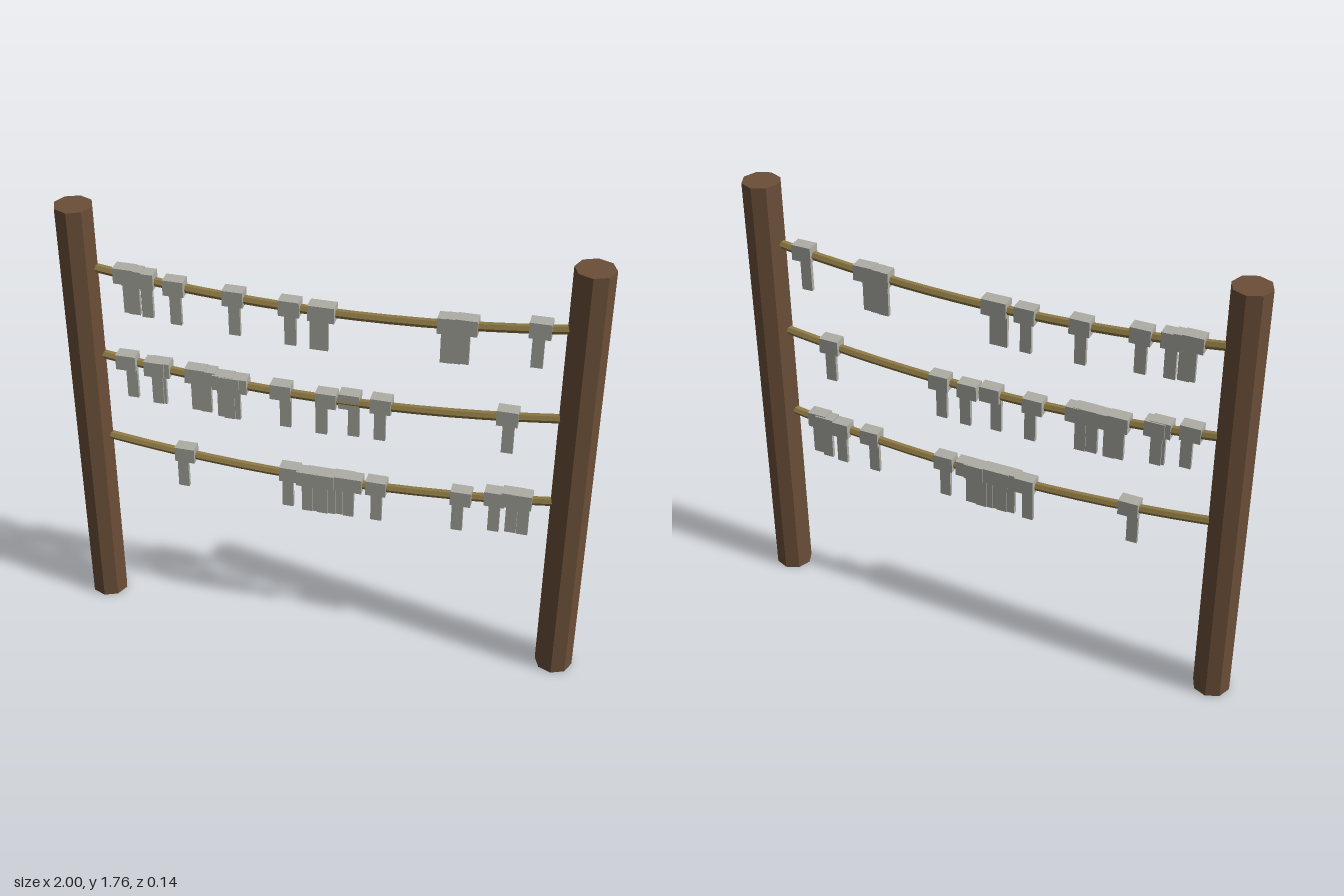
import * as THREE from 'three';

const POST_X = 0.9275, POST_R = 0.0725, POST_H = 1.76;
const SAG = 0.068;

// Each strip: [clip x, hanging strip x, z offset]
const rows = [
  { y: 1.455, strips: [
    [-0.75, -0.74, 0], [-0.72, -0.72, 0], [-0.675, -0.67, 0], [-0.56, -0.56, 0.005],
    [-0.34, -0.34, -0.003], [-0.13, -0.13, 0], [-0.02, -0.035, 0.005], [0, -0.01, 0.005],
    [0.445, 0.44, 0], [0.475, 0.47, 0], [0.51, 0.5, 0], [0.765, 0.76, 0]] },
  { y: 1.086, strips: [
    [-0.765, -0.75, 0.006], [-0.655, -0.65, 0.006], [-0.635, -0.64, 0], [-0.5, -0.5, -0.008],
    [-0.46, -0.465, -0.008], [-0.39, -0.395, 0], [-0.365, -0.37, 0.004], [-0.335, -0.35, 0],
    [-0.17, -0.155, -0.008], [0.005, -0.015, 0], [0.09, 0.105, -0.013], [0.21, 0.205, -0.008],
    [0.675, 0.68, 0]] },
  { y: 0.717, strips: [
    [-0.555, -0.57, 0], [-0.14, -0.15, -0.006], [-0.07, -0.07, 0.004], [-0.035, -0.04, 0],
    [0, -0.01, 0.004], [0.03, 0.02, 0], [0.07, 0.045, -0.004], [0.107, 0.09, 0],
    [0.2, 0.2, 0], [0.525, 0.513, 0.006], [0.65, 0.65, -0.007], [0.715, 0.715, -0.007],
    [0.75, 0.76, 0]] },
];

const material = (color) => new THREE.MeshStandardMaterial({ color, flatShading: true });

function addMesh(parent, name, geometry, mat, x = 0, y = 0, z = 0) {
  const mesh = new THREE.Mesh(geometry, mat);
  mesh.name = name;
  mesh.position.set(x, y, z);
  parent.add(mesh);
  return mesh;
}

export function createModel() {
  const group = new THREE.Group();
  group.name = 'ropeFence';
  const wood = material(0x6b4f38), rope = material(0x8f7a45), cloth = material(0xaeaea6);

  // Octagonal posts
  const postGeometry = new THREE.CylinderGeometry(POST_R, POST_R, POST_H, 8);
  addMesh(group, 'leftPost', postGeometry, wood, POST_X, POST_H / 2);
  addMesh(group, 'rightPost', postGeometry, wood, -POST_X, POST_H / 2);

  const clipGeometry = new THREE.BoxGeometry(0.078, 0.062, 0.053);
  const stripGeometry = new THREE.BoxGeometry(0.043, 0.15, 0.015);

  rows.forEach(({ y, strips }, i) => {
    const row = new THREE.Group();
    row.name = `ropeRow${i + 1}`;
    group.add(row);

    // Sagging rope, running into the posts
    const curve = new THREE.QuadraticBezierCurve3(
      new THREE.Vector3(-POST_X, y + SAG, 0),
      new THREE.Vector3(0, y - SAG, 0),
      new THREE.Vector3(POST_X, y + SAG, 0));
    addMesh(row, 'rope', new THREE.TubeGeometry(curve, 16, 0.017, 6), rope);

    // Folded clips on the rope, each with a strip hanging below
    for (const [clipX, stripX, z] of strips) {
      const ropeY = y + SAG * (clipX / POST_X) ** 2;
      addMesh(row, 'clip', clipGeometry, cloth, clipX, ropeY + 0.004, z);
      addMesh(row, 'hangingStrip', stripGeometry, cloth, stripX, ropeY - 0.08, z);
    }
  });
  return group;
}
